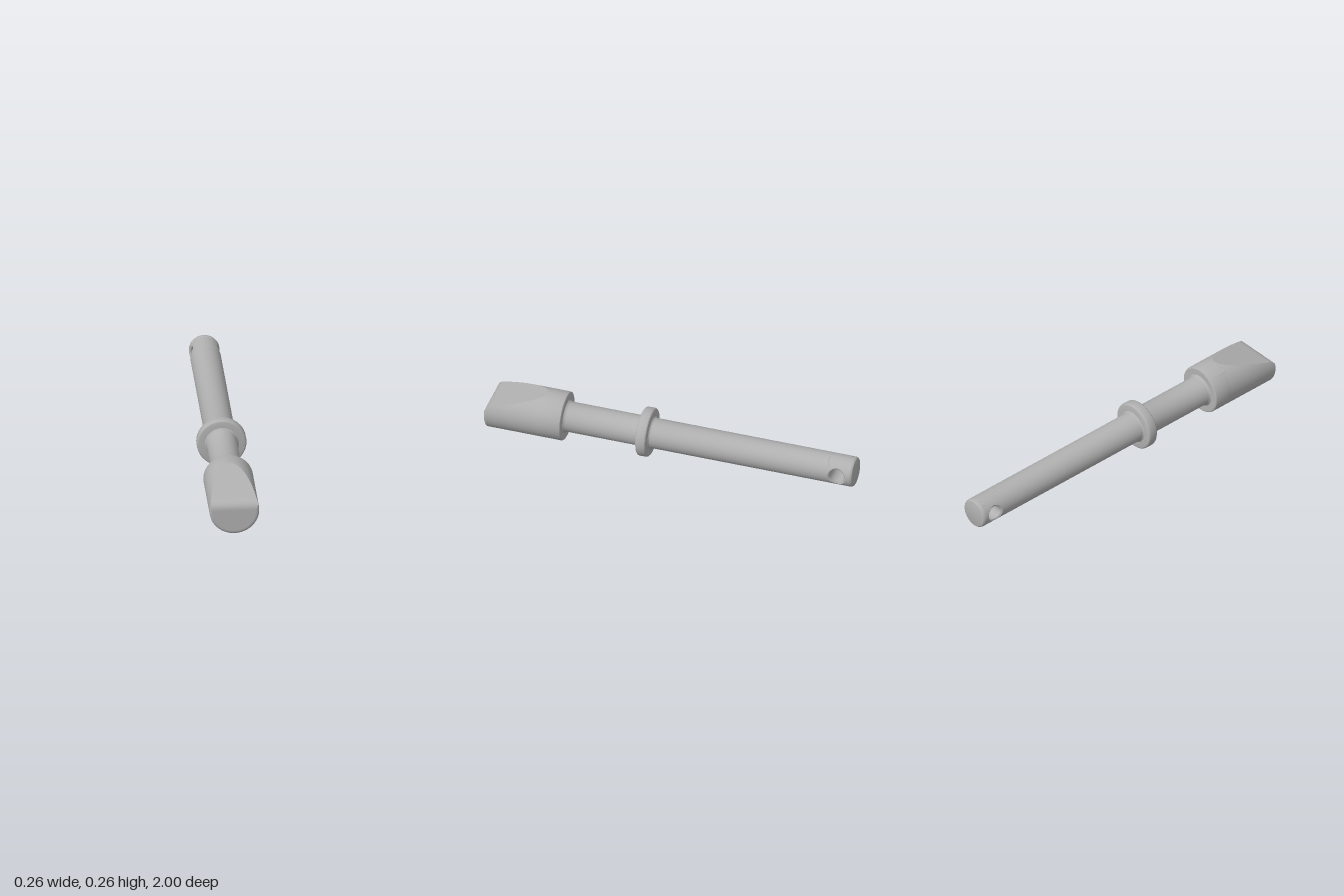
import * as THREE from 'three';
import { toCreasedNormals } from 'three/addons/utils/BufferGeometryUtils.js';

const SHAFT_R = 0.08;
const HEAD_R = 0.13;
const HOLE_R = 0.041;
const HOLE_Z = -0.917;
const SEG = 64;

// Sharp edges, smooth curves (enlarged while merging so nearby points stay apart)
function crease(geometry) {
  return toCreasedNormals(geometry.scale(100, 100, 100), 0.45).scale(0.01, 0.01, 0.01);
}

// Surface from a rule: point(i, j) over nu x nv cells
function gridSurface(point, nu, nv) {
  const positions = [], index = [];
  for (let j = 0; j <= nv; j++) {
    for (let i = 0; i <= nu; i++) positions.push(...point(i, j));
  }
  for (let j = 0; j < nv; j++) {
    for (let i = 0; i < nu; i++) {
      const a = j * (nu + 1) + i, b = a + 1, c = b + nu + 1, d = a + nu + 1;
      index.push(a, b, c, a, c, d);
    }
  }
  const g = new THREE.BufferGeometry();
  g.setAttribute('position', new THREE.Float32BufferAttribute(positions, 3));
  g.setIndex(index);
  return crease(g);
}

// Turned part along z from [radius, z] pairs
function turned(profile) {
  const g = new THREE.LatheGeometry(profile.map(([r, z]) => new THREE.Vector2(r, z)), SEG);
  return crease(g.rotateX(Math.PI / 2));
}

// Half of the drilled section: tunnel, softened rim and surrounding shaft wall
function drilledHalf() {
  const z0 = -0.975, z1 = -0.86, rim = HOLE_R + 0.008, wallSteps = 10;
  const wallX = (y) => Math.sqrt(SHAFT_R ** 2 - y ** 2);
  return gridSurface((i, j) => {
    const a = (i / SEG) * Math.PI * 2, c = Math.cos(a), s = Math.sin(a);
    if (j < 2) {
      const y = HOLE_R * s;
      return [j === 0 ? 0 : wallX(y) - 0.008, y, HOLE_Z + HOLE_R * c];
    }
    const t = (j - 2) / wallSteps, m = Math.max(Math.abs(c), Math.abs(s));
    const edgeZ = HOLE_Z + (c / m) * (c > 0 ? z1 - HOLE_Z : HOLE_Z - z0);
    const z = THREE.MathUtils.lerp(HOLE_Z + rim * c, edgeZ, t);
    const phi = THREE.MathUtils.lerp(Math.asin((rim * s) / SHAFT_R), (s / m) * Math.PI / 2, t);
    return [SHAFT_R * Math.cos(phi), SHAFT_R * Math.sin(phi), z];
  }, SEG, wallSteps + 2);
}

// Head cross-sections {z, r, h}: circle of radius r cut flat at height h
function headSections() {
  const front = 0.988, soft = 0.012, startZ = 0.685, bendZ = 0.955, bendH = 0.056;
  const radius = (z) => {
    const t = Math.max(0, (z - front) / soft);
    return HEAD_R - 0.018 * (1 - Math.sqrt(Math.max(0, 1 - t * t)));
  };
  const body = [
    { z: 0.58, r: 0.078, h: HEAD_R },
    { z: 0.58, r: 0.122, h: HEAD_R },
    { z: 0.583, r: 0.128, h: HEAD_R },
    { z: 0.588, r: HEAD_R, h: HEAD_R },
  ];
  const cut = [];
  for (let k = 0; k <= 16; k++) {
    const t = (k / 16) ** 2;
    cut.push({ z: startZ + (bendZ - startZ) * t, h: HEAD_R + (bendH - HEAD_R) * t });
  }
  const nose = new THREE.QuadraticBezierCurve(
    new THREE.Vector2(bendZ, bendH), new THREE.Vector2(1, 0.044), new THREE.Vector2(1, 0.005));
  nose.getPoints(14).slice(1).forEach((p) => cut.push({ z: p.x, h: p.y }));
  cut.forEach((s) => { s.r = radius(s.z); });
  return { body, cut };
}

const cutAngle = ({ r, h }) => Math.asin(Math.min(1, h / r));

export function createModel() {
  const steel = new THREE.MeshStandardMaterial({ color: 0xb0b0b0 });
  steel.name = 'steel grey';
  const model = new THREE.Group();
  model.name = 'lockingPin';
  const add = (name, geometry) => {
    const mesh = new THREE.Mesh(geometry, steel);
    mesh.name = name;
    mesh.position.y = HEAD_R;
    model.add(mesh);
    return mesh;
  };

  // Shaft with small fillets beside the collar and head
  add('shaft', turned([
    [SHAFT_R, -0.86], [SHAFT_R, 0.1], [0.083, 0.108], [0.09, 0.114],
    [0.09, 0.172], [0.083, 0.177], [SHAFT_R, 0.185],
    [SHAFT_R, 0.567], [0.083, 0.574], [0.09, 0.581],
  ]));
  add('shaftEnd', turned([
    [0, -1], [0.069, -1], [0.074, -0.998], [0.078, -0.993], [SHAFT_R, -0.985], [SHAFT_R, -0.975],
  ]));

  // Cross hole, one half on each side
  for (const side of [0, 1]) {
    add(side ? 'crossHoleRight' : 'crossHoleLeft', drilledHalf()).rotation.z = side * Math.PI;
  }

  // Collar with rounded edges
  add('collar', turned([
    [0.078, 0.113], [0.118, 0.113], [0.124, 0.115], [0.128, 0.119], [HEAD_R, 0.125],
    [HEAD_R, 0.159], [0.128, 0.165], [0.124, 0.169], [0.118, 0.171], [0.078, 0.171],
  ]));

  // Head: round wall, sloping flat and front face
  const { body, cut } = headSections();
  const all = [...body, ...cut];
  add('headWall', gridSurface((i, j) => {
    const s = all[j], a0 = cutAngle(s);
    const a = Math.PI - a0 + (i / SEG) * (Math.PI + 2 * a0);
    return [s.r * Math.cos(a), s.r * Math.sin(a), s.z];
  }, SEG, all.length - 1));
  add('headSlope', gridSurface((i, j) => {
    const s = cut[j];
    return [(1 - i / 2) * s.r * Math.cos(cutAngle(s)), Math.min(s.h, s.r), s.z];
  }, 4, cut.length - 1));

  const last = cut[cut.length - 1], a0 = cutAngle(last);
  const face = new THREE.Shape();
  face.absarc(0, 0, last.r, Math.PI - a0, 2 * Math.PI + a0, false);
  add('headFace', new THREE.ShapeGeometry(face, SEG / 2).translate(0, 0, 1));

  return model;
}
